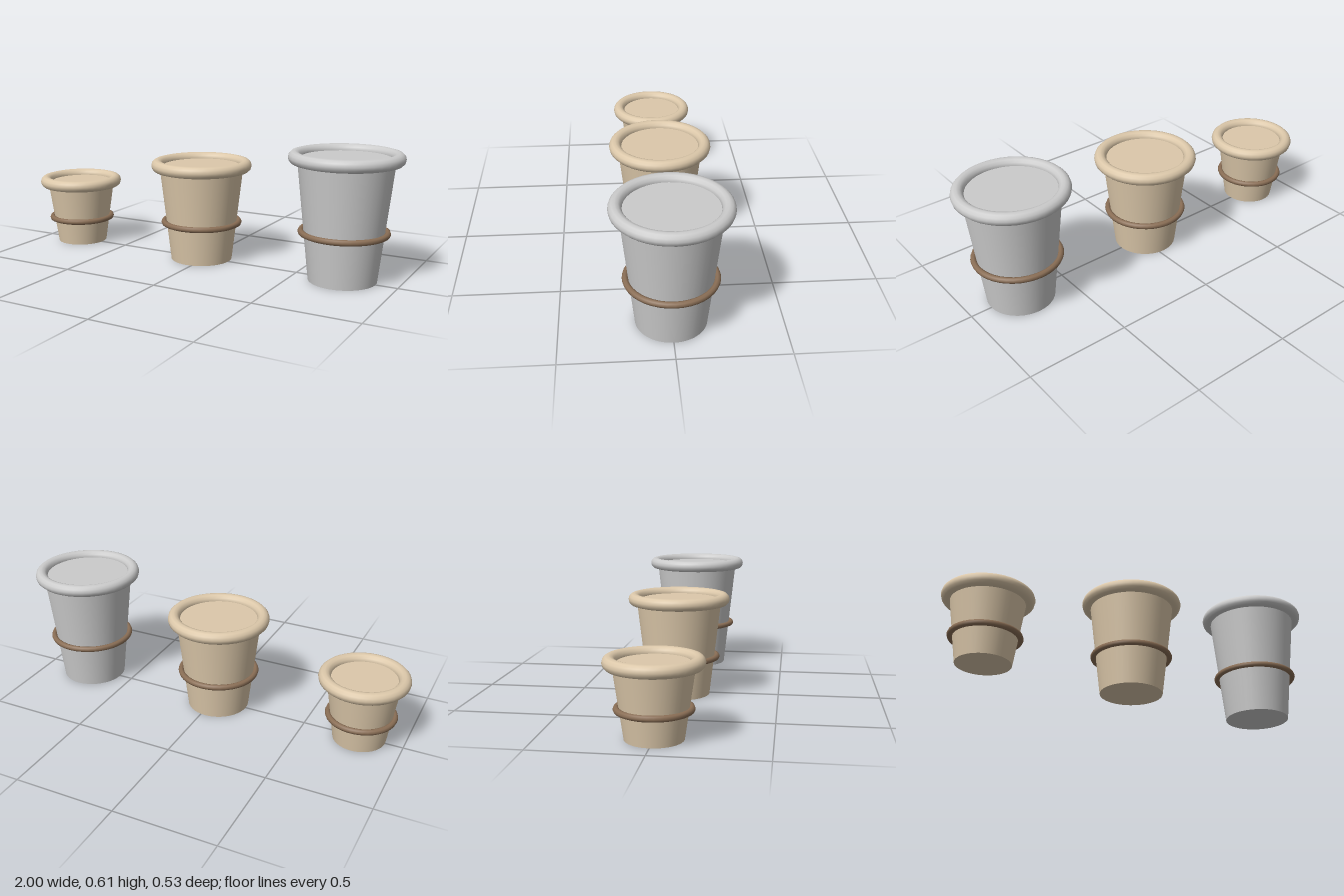
import * as THREE from 'three';

const tan = new THREE.MeshStandardMaterial({ color: 0xdcc8aa });
const grey = new THREE.MeshStandardMaterial({ color: 0xcccccc });
const brown = new THREE.MeshStandardMaterial({ color: 0x8b6f56 });

// Horizontal ring at a given height
function ring(name, radius, tube, sides, y, material) {
  const mesh = new THREE.Mesh(new THREE.TorusGeometry(radius, tube, sides, 40), material);
  mesh.name = name;
  mesh.rotation.x = Math.PI / 2;
  mesh.position.y = y;
  return mesh;
}

// Tapered pot with a thick rim and a thin decorative band
function pot(name, x, height, topRadius, bottomRadius, material) {
  const group = new THREE.Group();
  group.name = name;
  group.position.x = x;

  const body = new THREE.Mesh(
    new THREE.CylinderGeometry(topRadius, bottomRadius, height, 40), material);
  body.name = 'body';
  body.position.y = height / 2;

  const bandHeight = 0.4;
  const bandRadius = THREE.MathUtils.lerp(bottomRadius, topRadius, bandHeight) * 1.07;
  group.add(
    body,
    ring('rim', topRadius * 1.05, 0.03, 12, height, material),
    ring('band', bandRadius, 0.0145, 8, height * bandHeight, brown));
  return group;
}

export function createModel() {
  const model = new THREE.Group();
  model.name = 'pots';
  model.add(
    pot('smallPot', -0.783, 0.331, 0.178, 0.129, tan),
    pot('mediumPot', -0.026, 0.482, 0.211, 0.154, tan),
    pot('largePot', 0.733, 0.583, 0.226, 0.162, grey));
  return model;
}
